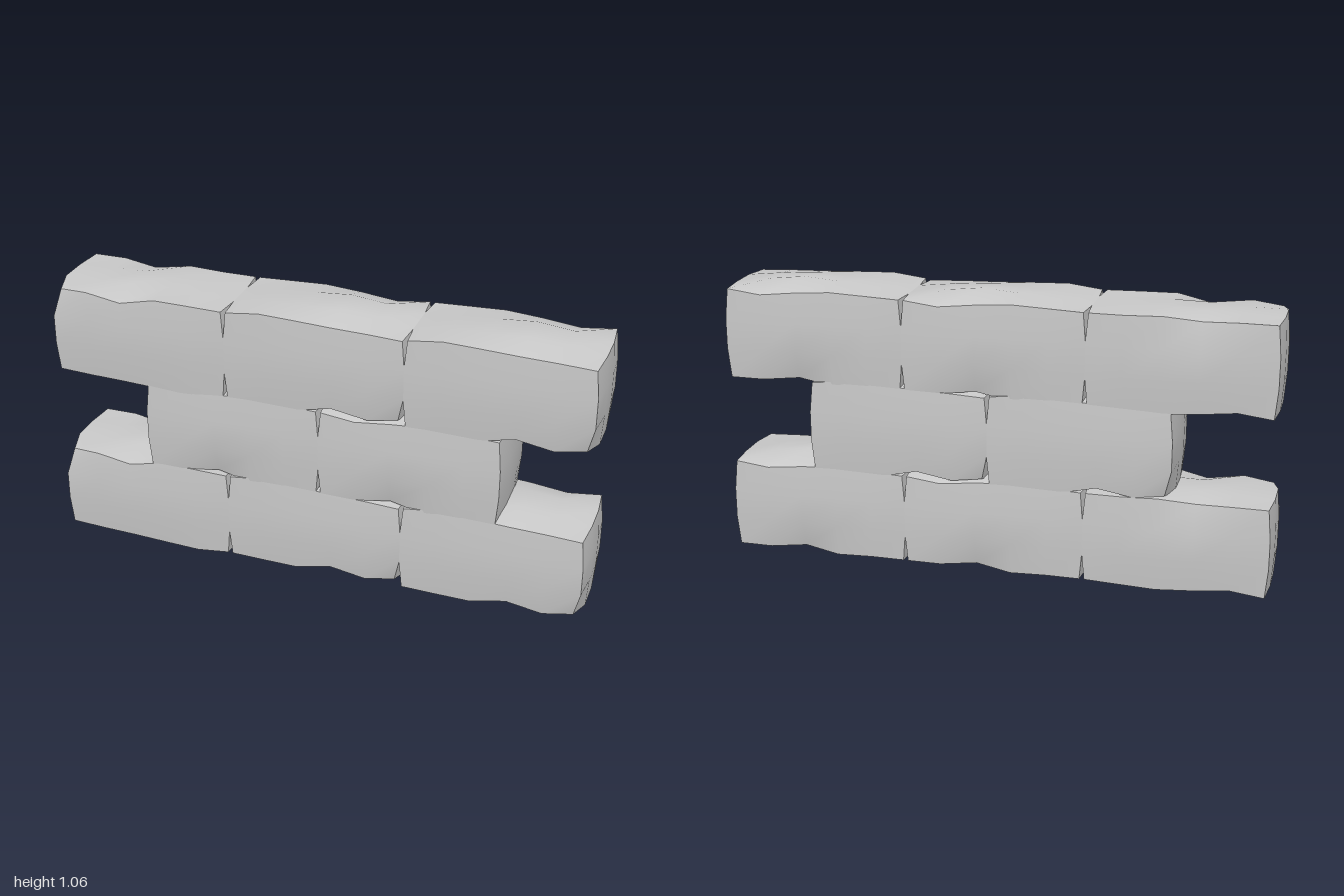
import * as THREE from 'three';

const W = 0.66, H = 0.33, D = 0.33;

// Height offsets along x for the top and bottom faces, rows run back to front
const TOP = [
  [0, 0.005, 0.01, 0, -0.015, 0],
  [0, 0.015, 0.025, 0.035, 0.02, 0],
  [0, 0.015, 0.018, 0.025, 0.015, 0],
  [0, 0.015, 0.01, 0.004, 0, -0.006],
];
const BOTTOM = [
  [0, 0, -0.005, 0.01, 0, 0],
  [0, -0.005, -0.01, -0.01, -0.005, 0],
  [0, -0.005, -0.01, -0.008, 0, 0],
  [0, -0.003, -0.005, 0.025, 0.003, 0.012],
];

// A worn stone brick: smooth, gently bulging faces with hard, chipped edges
function stoneGeometry() {
  const geo = new THREE.BoxGeometry(W, H, D, 5, 3, 3);
  const p = geo.attributes.position;
  for (let n = 0; n < p.count; n++) {
    let x = p.getX(n), y = p.getY(n), z = p.getZ(n);
    const i = Math.round((x / W + 0.5) * 5);
    const j = Math.round((y / H + 0.5) * 3);
    const k = Math.round((z / D + 0.5) * 3);
    const endX = i === 0 || i === 5, endY = j === 0 || j === 3, endZ = k === 0 || k === 3;
    // Uneven top and bottom, fading towards the middle
    y += TOP[k][i] * (j === 3 ? 1 : j === 2 ? 0.2 : 0);
    y += BOTTOM[k][i] * (j === 0 ? 1 : j === 1 ? 0.2 : 0);
    // Front and back bulge at mid-height
    if (endZ && !endY) z += Math.sign(z) * (endX ? 0.004 : 0.008);
    // Ends bulge in the middle and pull in at the corners
    if (endX) {
      const edges = (endY ? 1 : 0) + (endZ ? 1 : 0);
      x += Math.sign(x) * [0.009, 0.001, -0.009][edges];
    }
    // Chips: front lower corner and back lower edge
    if (i === 5 && j === 0 && k === 3) { x -= 0.015; z -= 0.02; }
    if (i === 3 && j === 0 && k === 0) z += 0.022;
    p.setXYZ(n, x, y, z);
  }
  geo.computeVertexNormals();
  return geo;
}

export function createModel() {
  const wall = new THREE.Group();
  wall.name = 'stoneWall';
  const geo = stoneGeometry();
  const mat = new THREE.MeshStandardMaterial({ color: 0xcccccc });

  // Staggered courses; bricks are turned for variety
  const courses = [
    { name: 'lowerCourse', y: 0.2, xs: [-0.66, 0, 0.66] },
    { name: 'middleCourse', y: 0.528, xs: [-0.31, 0.35], turned: true },
    { name: 'upperCourse', y: 0.856, xs: [-0.66, 0, 0.66] },
  ];
  for (const { name, y, xs, turned } of courses) {
    const course = new THREE.Group();
    course.name = name;
    xs.forEach((x, i) => {
      const brick = new THREE.Mesh(geo, mat);
      brick.name = 'brick' + (i + 1);
      brick.position.set(x, y, 0);
      if (turned) brick.rotation.y = Math.PI;
      else if (i === 0) brick.rotation.z = Math.PI;
      course.add(brick);
    });
    wall.add(course);
  }
  return wall;
}
